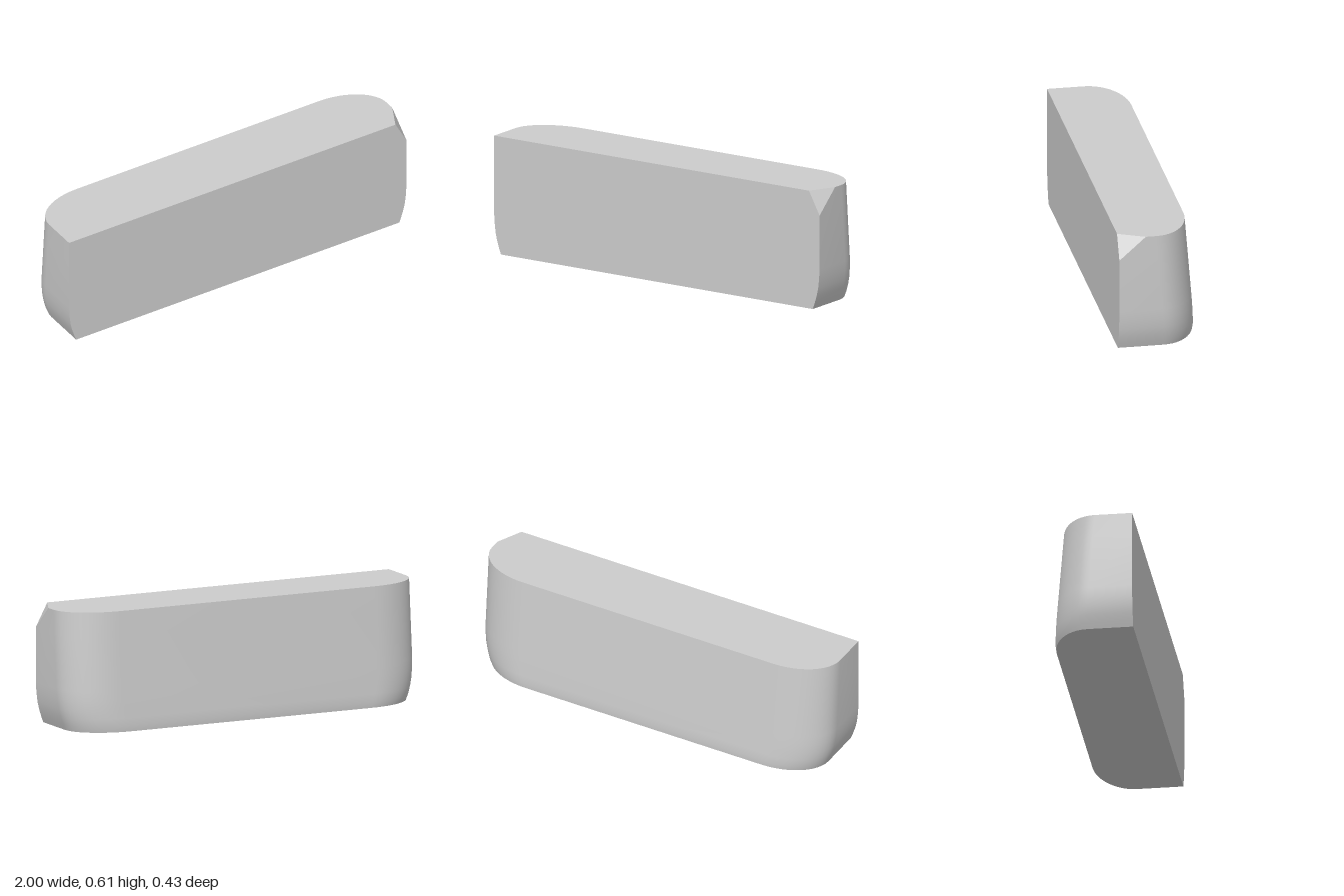
import * as THREE from 'three';
import { toCreasedNormals } from 'three/addons/utils/BufferGeometryUtils.js';

const FRONT = 0.213;
const TOP = 0.61;
const CUT = 0.49; // height where the corner cut begins
const CORNER_STEPS = 12;

// [height, half width, back z]: sides tuck in at the bottom, back leans forward
const LEVELS = [
  [0, 0.958, -0.21], [0.03, 0.969, -0.213], [0.07, 0.982, -0.2095], [0.11, 0.991, -0.2065],
  [0.16, 0.997, -0.2025], [0.21, 1, -0.198], [CUT, 1, -0.175], [TOP, 1, -0.165],
];

// Horizontal outline, anticlockwise from above, with elliptical back corners
function outline([y, w, back]) {
  const t = Math.max(0, (y - CUT) / (TOP - CUT));
  const points = [
    new THREE.Vector3(w - 0.065 * t, y, FRONT),
    new THREE.Vector3(w, y, FRONT - 0.135 * t),
  ];
  const a = 0.28, b = 0.19;
  const corner = [];
  for (let i = 0; i <= CORNER_STEPS; i++) {
    const angle = (i / CORNER_STEPS) * Math.PI / 2;
    corner.push([w - a + a * Math.cos(angle), back + b - b * Math.sin(angle)]);
  }
  for (const [x, z] of corner) points.push(new THREE.Vector3(x, y, z));
  for (const [x, z] of corner.reverse()) points.push(new THREE.Vector3(-x, y, z));
  points.push(new THREE.Vector3(-w, y, FRONT));
  return points;
}

function blockGeometry() {
  const positions = [];
  const triangle = (a, b, c) => {
    if (new THREE.Triangle(a, b, c).getArea() < 1e-9) return;
    for (const p of [a, b, c]) positions.push(p.x, p.y, p.z);
  };
  const rings = LEVELS.map(outline);
  const n = rings[0].length;

  // Walls
  for (let j = 0; j < rings.length - 1; j++) {
    const low = rings[j], high = rings[j + 1];
    for (let i = 0; i < n; i++) {
      const k = (i + 1) % n;
      triangle(low[i], low[k], high[k]);
      triangle(low[i], high[k], high[i]);
    }
  }
  // Flat bottom and top
  const bottom = rings[0], top = rings[rings.length - 1];
  for (let i = 1; i < n - 1; i++) {
    triangle(bottom[0], bottom[i + 1], bottom[i]);
    triangle(top[0], top[i], top[i + 1]);
  }

  const geometry = new THREE.BufferGeometry();
  geometry.setAttribute('position', new THREE.Float32BufferAttribute(positions, 3));
  return toCreasedNormals(geometry, Math.PI / 6);
}

export function createModel() {
  const group = new THREE.Group();
  group.name = 'roundedBlock';
  const block = new THREE.Mesh(blockGeometry(), new THREE.MeshStandardMaterial({ color: 0xcccccc }));
  block.name = 'blockBody';
  group.add(block);
  return group;
}
